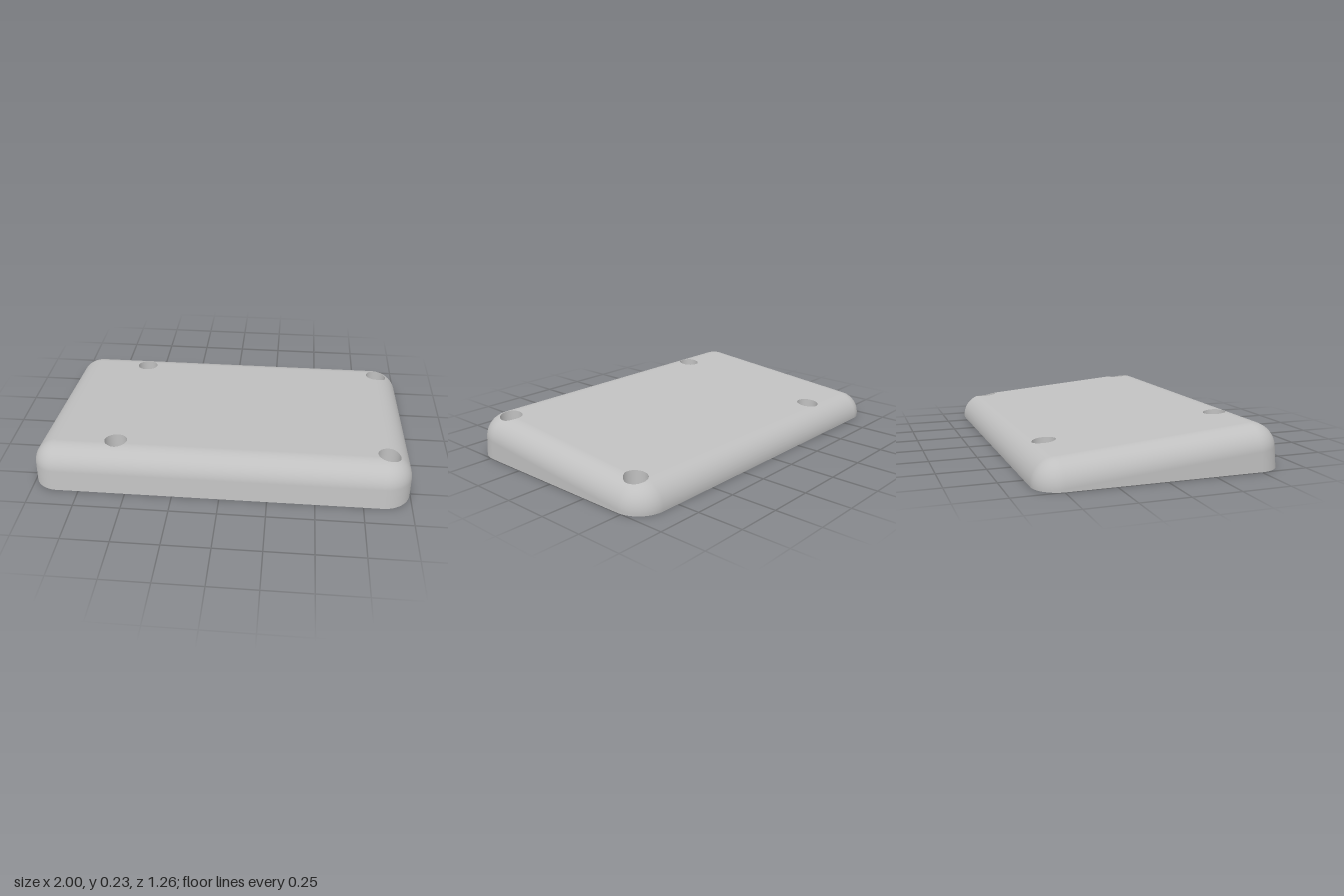
import * as THREE from 'three';

const TILT = THREE.MathUtils.degToRad(5), S = Math.sin(TILT), C = Math.cos(TILT);
const HALF_X = 1, HALF_Z = 0.627, FILLET = 0.125, LIFT = 0.0575;
const BORE_R = 0.06, HOLE_R = 0.03, BORE_FLOOR = 0.05, SIDES = 40;
const STEPS = 10; // segments per rounded corner and per fillet
const cornerRadius = (x) => (x > 0 ? 0.15 : 0.13);

// Tilted frame to world; a vertex is [x, y, z, nx, ny, nz]
const vertex = (x, h, z, nx, nh, nz) =>
  [x, h * C + z * S + LIFT, z * C - h * S, nx, nh * C + nz * S, nz * C - nh * S];

// Rounded rectangle loop at fillet angle t (0 = side wall, 90 degrees = top)
function loopAt(t) {
  const out = [], ct = Math.cos(t), st = Math.sin(t);
  [[1, 1], [-1, 1], [-1, -1], [1, -1]].forEach(([sx, sz], q) => {
    const R = cornerRadius(sx), r = R - FILLET * (1 - ct);
    for (let i = 0; i <= STEPS; i++) {
      const a = (q + i / STEPS) * Math.PI / 2, ca = Math.cos(a), sa = Math.sin(a);
      out.push(vertex(sx * (HALF_X - R) + r * ca, FILLET * st, sz * (HALF_Z - R) + r * sa,
        ca * ct, st, sa * ct));
    }
  });
  return out;
}

// Height of the tilted, filleted top above a point of the ground
function topHeight(x, zWorld) {
  const R = cornerRadius(x);
  let h = FILLET, z = 0;
  for (let i = 0; i < 8; i++) {
    z = (zWorld + h * S) / C;
    const qx = Math.abs(x) - HALF_X + R, qz = Math.abs(z) - HALF_Z + R;
    const sd = Math.hypot(Math.max(qx, 0), Math.max(qz, 0)) + Math.min(Math.max(qx, qz), 0) - R;
    const e = THREE.MathUtils.clamp(sd + FILLET, 0, FILLET);
    h = Math.sqrt(FILLET * FILLET - e * e);
  }
  return h * C + z * S + LIFT;
}

// Part of a convex polygon where f is positive
function clip(poly, f) {
  const out = [];
  poly.forEach((p, i) => {
    const q = poly[(i + 1) % poly.length], a = f(p), b = f(q);
    if (a >= 0) out.push(p);
    if (a * b < 0) out.push(p.map((v, k) => v + (q[k] - v) * a / (a - b)));
  });
  return out;
}

// Cuts a vertical round hole out of a convex polygon
function cutHole(poly, [cx, cz], r) {
  const kept = [];
  let rest = poly;
  for (let k = 0; k < SIDES; k++) {
    const m = (k + 0.5) / SIDES * Math.PI * 2;
    const f = (p) => (p[0] - cx) * Math.cos(m) + (p[2] - cz) * Math.sin(m) - r * Math.cos(Math.PI / SIDES);
    const outer = clip(rest, f);
    if (outer.length > 2) kept.push(outer);
    rest = clip(rest, (p) => -f(p));
    if (rest.length < 3) return [poly];
  }
  return kept;
}

const cutAll = (polys, holes, r) =>
  holes.reduce((list, hole) => list.flatMap((p) => cutHole(p, hole, r)), polys);

// Fans convex polygons into triangles that face along their normals
function toGeometry(polys) {
  const pos = [], nor = [];
  const v = (p) => new THREE.Vector3(p[0], p[1], p[2]);
  for (const poly of polys) {
    for (let i = 1; i < poly.length - 1; i++) {
      let tri = [poly[0], poly[i], poly[i + 1]];
      const n = v(tri[1]).sub(v(tri[0])).cross(v(tri[2]).sub(v(tri[0])));
      const sum = [3, 4, 5].map((k) => tri[0][k] + tri[1][k] + tri[2][k]);
      if (n.dot(new THREE.Vector3(...sum)) < 0) tri = [tri[0], tri[2], tri[1]];
      for (const p of tri) {
        pos.push(p[0], p[1], p[2]);
        nor.push(p[3], p[4], p[5]);
      }
    }
  }
  const g = new THREE.BufferGeometry();
  g.setAttribute('position', new THREE.Float32BufferAttribute(pos, 3));
  g.setAttribute('normal', new THREE.Float32BufferAttribute(nor, 3));
  return g;
}

const band = (a, b) => a.flatMap((p, i) => {
  const j = (i + 1) % a.length;
  return [[p, a[j], b[j]], [p, b[j], b[i]]];
});

// Circle of vertices; height may depend on position
const ring = ([cx, cz], r, height, flat) => Array.from({ length: SIDES }, (_, k) => {
  const a = k / SIDES * Math.PI * 2, ca = Math.cos(a), sa = Math.sin(a);
  const x = cx + r * ca, z = cz + r * sa;
  return [x, height(x, z), z, ...(flat ? [0, 1, 0] : [-ca, 0, -sa])];
});

export function createModel() {
  const model = new THREE.Group();
  const grey = new THREE.MeshStandardMaterial({ color: 0xc0c0c0 });
  grey.name = 'plain grey';
  const add = (name, polys) => {
    const mesh = new THREE.Mesh(toGeometry(polys), grey);
    mesh.name = name;
    model.add(mesh);
  };

  const holes = [-0.565, 0.875].flatMap((x) => [-0.475, 0.465].map((z) => [x, z]));
  const loops = Array.from({ length: STEPS + 1 }, (_, i) => loopAt(i / STEPS * Math.PI / 2));

  // Rounded edge and sloping top, pierced by the counterbores
  add('roundedEdge', cutAll(loops.slice(1).flatMap((l, i) => band(loops[i], l)), holes, BORE_R));
  add('slopingTop', cutAll([loops[STEPS]], holes, BORE_R));

  // Side walls run down the tilted frame to the ground
  const foot = loops[0].map(([x, y, z, ...n]) => [x, 0, z + y * S / C, ...n]);
  add('sideWalls', band(loops[0], foot));
  const base = foot.map(([x, y, z]) => [x, y, z, 0, -1, 0]);
  add('base', cutAll([base], holes, HOLE_R));

  // Stepped screw holes
  for (const hole of holes) {
    const floor = () => BORE_FLOOR;
    add('screwHole', [
      ...band(ring(hole, BORE_R, topHeight), ring(hole, BORE_R, floor)),
      ...band(ring(hole, BORE_R, floor, true), ring(hole, HOLE_R, floor, true)),
      ...band(ring(hole, HOLE_R, floor), ring(hole, HOLE_R, () => 0)),
    ]);
  }
  return model;
}
